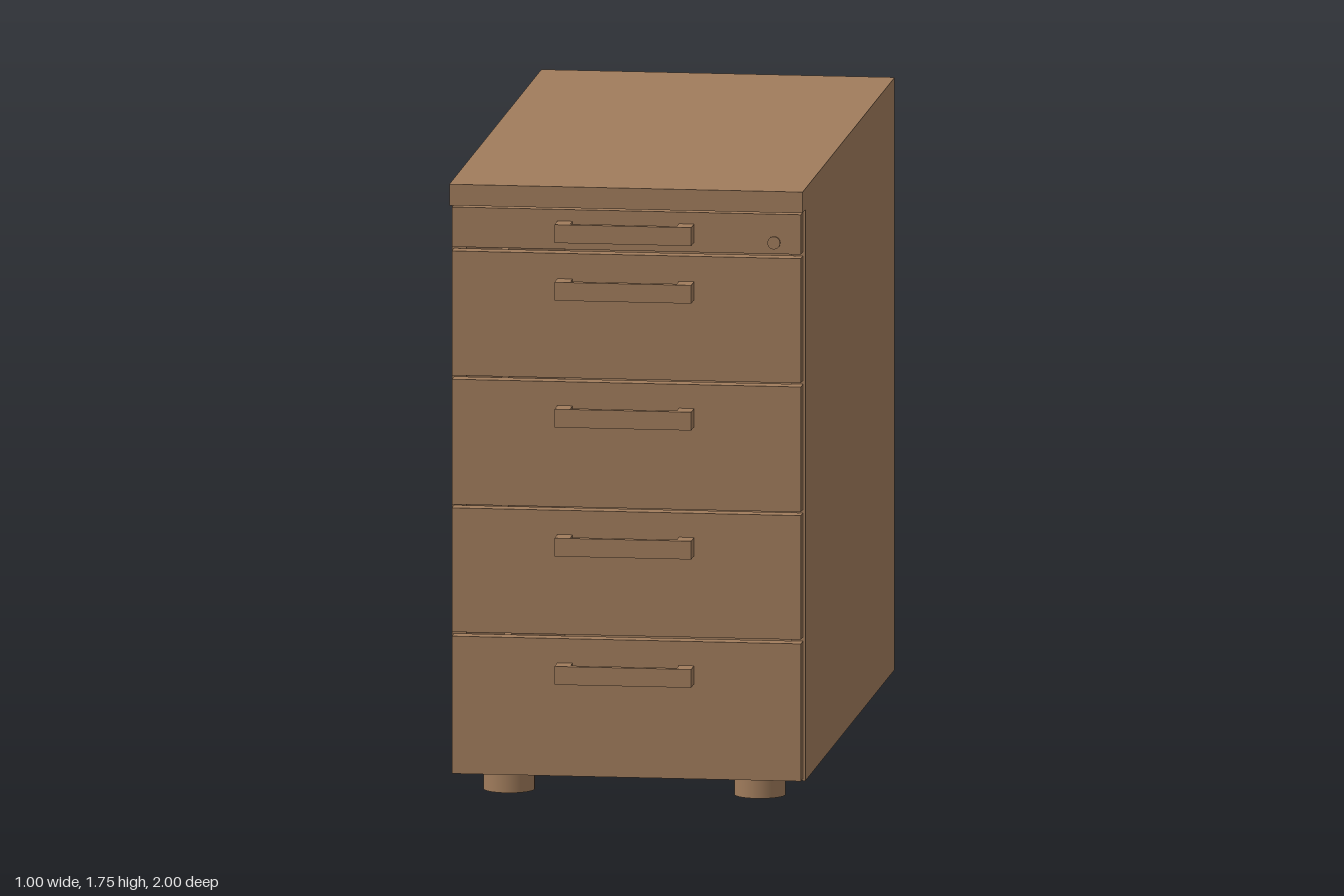
import * as THREE from 'three';

export function createModel() {
  const group = new THREE.Group();
  const wood = new THREE.MeshStandardMaterial({ color: 0xa07c5c });
  wood.name = 'wood brown';

  const add = (parent, name, geometry, x = 0, y = 0, z = 0) => {
    const mesh = new THREE.Mesh(geometry, wood);
    mesh.name = name;
    mesh.position.set(x, y, z);
    parent.add(mesh);
    return mesh;
  };
  // Box given by its limits on each axis
  const box = (parent, name, x0, x1, y0, y1, z0, z1) =>
    add(parent, name, new THREE.BoxGeometry(x1 - x0, y1 - y0, z1 - z0),
      (x0 + x1) / 2, (y0 + y1) / 2, (z0 + z1) / 2);

  // Carcass: overhanging top, sides, bottom and a slightly recessed back
  const carcass = new THREE.Group();
  carcass.name = 'carcass';
  group.add(carcass);
  box(carcass, 'topPanel', -0.5, 0.5, 1.69, 1.75, -1, 0.945);
  box(carcass, 'leftSide', 0.46, 0.5, 0.065, 1.69, -1, 0.885);
  box(carcass, 'rightSide', -0.5, -0.46, 0.065, 1.69, -1, 0.885);
  box(carcass, 'bottomPanel', -0.46, 0.46, 0.065, 0.1, -1, 0.885);
  box(carcass, 'backPanel', -0.46, 0.46, 0.1, 1.69, -0.99, -0.97);

  // Drawers: front bottom, front top, handle centre
  const drawers = [
    [0.072, 0.463, 0.368],
    [0.475, 0.828, 0.733],
    [0.838, 1.194, 1.1],
    [1.205, 1.559, 1.461],
    [1.571, 1.684, 1.625],
  ];
  drawers.forEach(([y0, y1, hy], i) => {
    const drawer = new THREE.Group();
    drawer.name = `drawer${i + 1}`;
    group.add(drawer);
    box(drawer, 'drawerFront', -0.494, 0.494, y0, y1, 0.89, 0.937);

    // Open tray behind the front
    const low = y0 + 0.04, high = y0 + (y1 - y0) * 0.75;
    box(drawer, 'trayFloor', -0.43, 0.43, low, low + 0.012, -0.85, 0.89);
    box(drawer, 'trayBack', -0.43, 0.43, low + 0.012, high, -0.85, -0.83);
    for (const s of [-1, 1]) {
      const side = box(drawer, 'traySide', -0.01, 0.01, low + 0.012, high, -0.83, 0.89);
      side.position.x = s * 0.42;
    }

    // Bar handle on two posts
    const handle = new THREE.Group();
    handle.name = 'handle';
    drawer.add(handle);
    box(handle, 'handleBar', -0.195, 0.192, hy - 0.026, hy + 0.026, 0.98, 1);
    box(handle, 'handlePost', -0.195, -0.152, hy - 0.026, hy + 0.026, 0.937, 0.98);
    box(handle, 'handlePost', 0.149, 0.192, hy - 0.026, hy + 0.026, 0.937, 0.98);
  });

  // Lock on the top drawer
  const lock = add(group, 'lock', new THREE.CylinderGeometry(0.018, 0.018, 0.012, 24), 0.418, 1.603, 0.938);
  lock.rotation.x = Math.PI / 2;

  // Round feet
  for (const x of [-0.357, 0.353]) {
    for (const z of [0.746, -0.854]) {
      add(group, 'foot', new THREE.CylinderGeometry(0.072, 0.072, 0.065, 32), x, 0.0325, z);
    }
  }
  return group;
}
